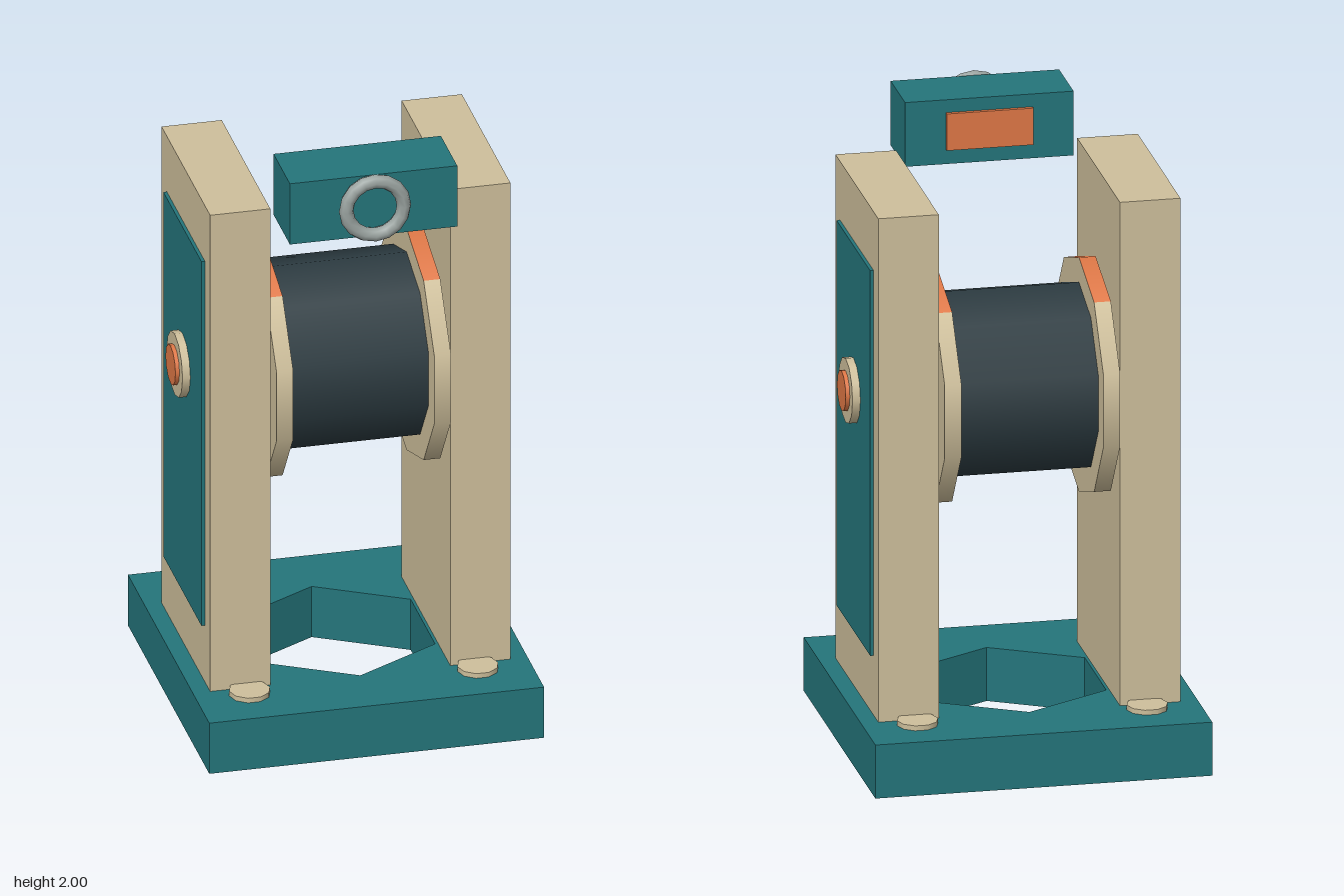
import * as THREE from 'three';
import { mergeGeometries } from 'three/addons/utils/BufferGeometryUtils.js';

const material = (color) => new THREE.MeshStandardMaterial({ color });

export function createModel() {
  const model = new THREE.Group();
  const teal = material(0x24757b);
  const cream = material(0xcfc09c);
  const orange = material(0xe07846);
  const dark = material(0x2b3a40);
  const steel = material(0x9aa3a0);
  const axisY = 1.158;

  const add = (name, geometry, mat, x = 0, y = 0, z = 0) => {
    const mesh = new THREE.Mesh(geometry, mat);
    mesh.name = name;
    mesh.position.set(x, y, z);
    model.add(mesh);
    return mesh;
  };
  const box = (w, h, d) => new THREE.BoxGeometry(w, h, d);

  // Cylinder lying along x, with a corner pointing straight up
  const axleCylinder = (r, length, sides) =>
    new THREE.CylinderGeometry(r, r, length, sides, 1, false, Math.PI / 2).rotateZ(Math.PI / 2);

  // Part of a ten-sided rim along x, counted in sides from the top corner
  const rimArc = (r, length, first, count) => {
    const step = Math.PI / 5;
    return new THREE.CylinderGeometry(r, r, length, count, 1, true,
      Math.PI / 2 + first * step, count * step).rotateZ(Math.PI / 2);
  };

  // Square base with a hexagonal opening
  const half = 0.534;
  const plate = new THREE.Shape([
    new THREE.Vector2(-half, -half), new THREE.Vector2(half, -half),
    new THREE.Vector2(half, half), new THREE.Vector2(-half, half),
  ]);
  const hexagon = [];
  for (let i = 0; i < 6; i++) {
    const a = Math.PI / 2 - (i * Math.PI) / 3;
    hexagon.push(new THREE.Vector2(0.32 * Math.cos(a), 0.32 * Math.sin(a)));
  }
  plate.holes.push(new THREE.Path(hexagon));
  const baseGeometry = new THREE.ExtrudeGeometry(plate, { depth: 0.175, bevelEnabled: false });
  add('base', baseGeometry.rotateX(-Math.PI / 2), teal);

  // Winding drum
  add('drum', axleCylinder(0.302, 0.45, 10), dark, 0, axisY);

  for (const side of [1, -1]) {
    const label = side > 0 ? 'left' : 'right';

    // Upright with its inset panel
    add(label + 'Upright', box(0.192, 1.647, 0.638), cream, side * 0.383, 0.9985);
    add(label + 'Panel', box(0.02, 1.26, 0.5), teal, side * 0.48, 1.0);

    // Bearing hub and axle cap
    add(label + 'Hub', axleCylinder(0.105, 0.035, 12), cream, side * 0.4975, axisY);
    add(label + 'AxleCap', axleCylinder(0.065, 0.03, 12), orange, side * 0.513, axisY);

    // Drum flange with a coloured strip over the top two rim faces
    const r = 0.383;
    const width = 0.053;
    const disc = (dir) => new THREE.CircleGeometry(r, 10, Math.PI / 2)
      .rotateY((dir * Math.PI) / 2).translate((dir * width) / 2, 0, 0);
    const flange = mergeGeometries([disc(1), disc(-1), rimArc(r, width, 1, 8)]);
    add(label + 'Flange', flange, cream, side * 0.2515, axisY);
    add(label + 'FlangeStrip', rimArc(r, width, -1, 2), orange, side * 0.2515, axisY);

    // Bolt heads at the foot of the upright
    for (const end of [1, -1]) {
      const bolt = new THREE.CylinderGeometry(0.065, 0.065, 0.03, 10, 1, false, Math.PI / 2);
      add(label + (end > 0 ? 'Front' : 'Back') + 'Bolt', bolt, cream,
        side * 0.364, 0.176, end * 0.363);
    }
  }

  // Block at the top front, with a ring ahead and an inlay behind
  add('headBlock', box(0.534, 0.21, 0.215), teal, 0, 1.885, 0.386);
  add('headRing', new THREE.TorusGeometry(0.092, 0.023, 8, 16), steel, 0, 1.885, 0.513);
  add('headInlay', box(0.275, 0.12, 0.03), orange, 0, 1.888, 0.28);

  return model;
}
